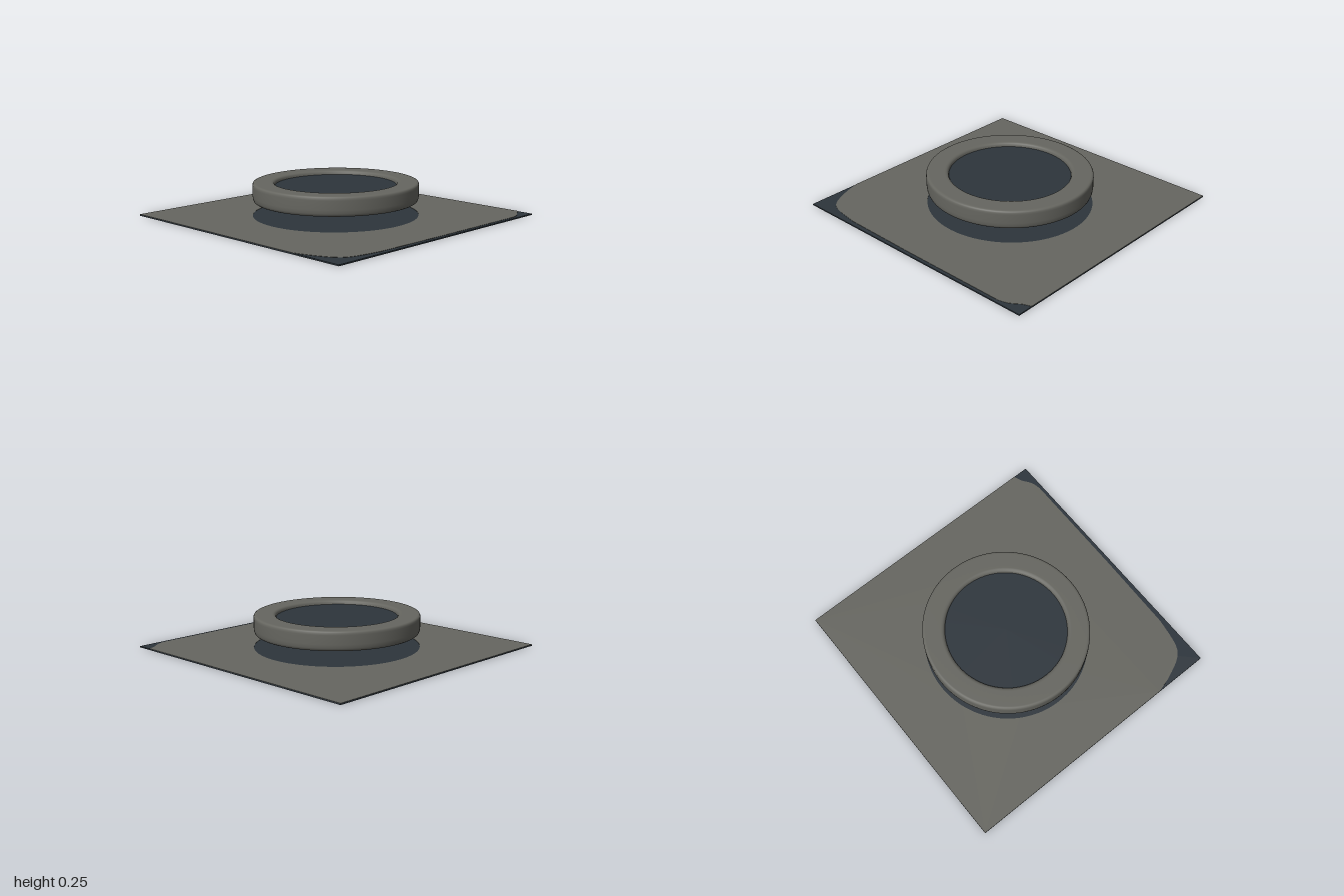
import * as THREE from 'three';

const V = (x, y) => new THREE.Vector2(x, y);

export function createModel() {
  const model = new THREE.Group();
  const stone = new THREE.MeshStandardMaterial({ color: 0x666660 });
  stone.name = 'warmGrey';
  const dark = new THREE.MeshStandardMaterial({ color: 0x2d353c });
  dark.name = 'darkSlate';

  const add = (name, geometry, material, x = 0, y = 0, z = 0) => {
    const mesh = new THREE.Mesh(geometry, material);
    mesh.name = name;
    mesh.position.set(x, y, z);
    model.add(mesh);
    return mesh;
  };
  const cz = -0.005; // the dish sits slightly behind the centre

  // Thin square base
  add('baseSlab', new THREE.BoxGeometry(2, 0.009, 2), dark, 0, 0.0045, 0);

  // Grey top sheet: worn front edge, round opening beneath the dish
  const sheet = new THREE.Shape();
  sheet.moveTo(-1, 1);
  sheet.lineTo(-1, -0.6);
  sheet.splineThru([V(-0.96, -0.73), V(-0.89, -0.87), V(-0.8, -0.93), V(-0.6, -0.965)]);
  sheet.lineTo(0, -0.974);
  sheet.lineTo(0.8, -0.976);
  sheet.splineThru([V(0.87, -0.957), V(0.94, -0.91), V(1, -0.885)]);
  sheet.lineTo(1, 1);
  const opening = new THREE.Path();
  opening.absellipse(0, -cz, 0.602, 0.59, 0, Math.PI * 2, true);
  sheet.holes.push(opening);
  const sheetGeo = new THREE.ExtrudeGeometry(sheet, { depth: 0.002, bevelEnabled: false, curveSegments: 48 });
  sheetGeo.rotateX(-Math.PI / 2);
  add('baseTopSheet', sheetGeo, stone, 0, 0.009, 0);

  // Short oval stem, leaning a little to one side towards the top
  const stemGeo = new THREE.CylinderGeometry(1, 1, 0.104, 32, 4, true);
  const p = stemGeo.attributes.position;
  for (let i = 0; i < p.count; i++) {
    const t = p.getY(i) / 0.104 + 0.5;
    p.setX(i, p.getX(i) * (0.073 + 0.008 * t) - 0.008 + 0.008 * t);
    p.setZ(i, p.getZ(i) * 0.036);
  }
  stemGeo.computeVertexNormals();
  add('stem', stemGeo, stone, 0, 0.062, 0.036);

  // Round dish: rim, underside, sunken floor
  const lathe = (name, points, material) => {
    const mesh = add(name, new THREE.LatheGeometry(points.map(([x, y]) => V(x, y)), 96), material, 0, 0, cz);
    mesh.scale.z = 0.98;
    return mesh;
  };
  lathe('dishRim', [
    [0.575, 0.113], [0.585, 0.114], [0.594, 0.12], [0.6, 0.135], [0.603, 0.16],
    [0.603, 0.225], [0.602, 0.237], [0.598, 0.246], [0.59, 0.25], [0.58, 0.251],
    [0.47, 0.251], [0.458, 0.25], [0.448, 0.245], [0.442, 0.235], [0.44, 0.22],
  ], stone);
  lathe('dishUnderside', [[0, 0.107], [0.11, 0.107], [0.16, 0.113], [0.2, 0.113], [0.575, 0.113]], dark);

  const floorGeo = new THREE.CircleGeometry(0.443, 96);
  floorGeo.rotateX(-Math.PI / 2);
  add('dishFloor', floorGeo, dark, 0, 0.223, cz).scale.z = 0.98;

  return model;
}
